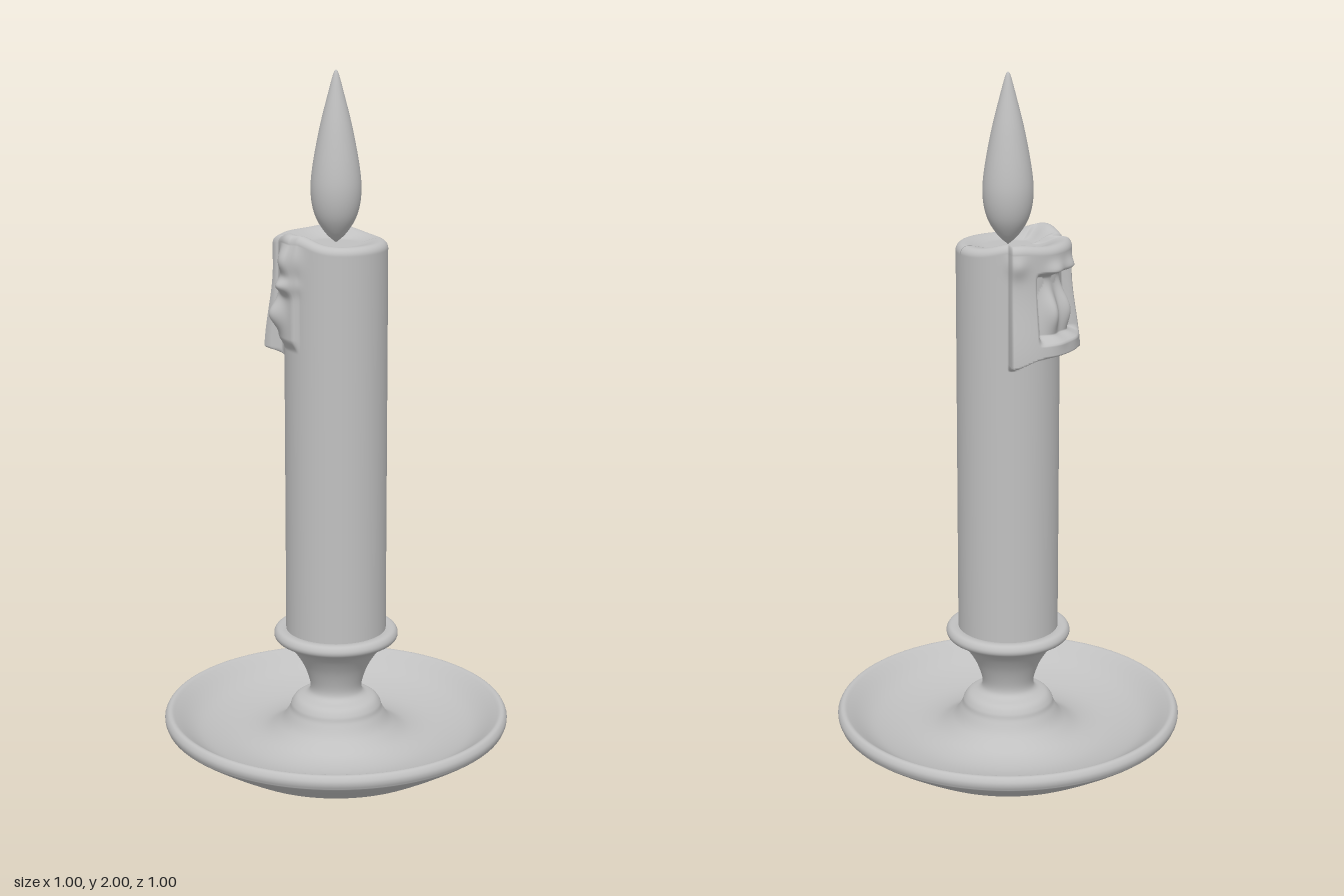
import * as THREE from 'three';
import { ParametricGeometry } from 'three/addons/geometries/ParametricGeometry.js';

const { smoothstep, lerp, clamp } = THREE.MathUtils;

// Lathe through a smooth curve of [radius, height] points.
function smoothLathe(points, samples) {
  const curve = new THREE.SplineCurve(points.map(([r, y]) => new THREE.Vector2(r, y)));
  const pts = curve.getPoints(samples);
  pts.forEach((p) => { p.x = Math.max(p.x, 0); });
  return new THREE.LatheGeometry(pts, 96);
}

// 1 inside the range a..b, fading to 0 over the width w outside it.
const band = (v, a, b, w) => smoothstep(v, a - w, a) * (1 - smoothstep(v, b, b + w));

// Smooth bump in angle (degrees) and height.
const bump = (a, y, a0, y0, wa, wy) => Math.exp(-(((a - a0) / wa) ** 2) - ((y - y0) / wy) ** 2);

// Angle 0 is +x, 90 is -z, 180 is -x.
const wrap = (d) => ((d % 360) + 360) % 360;

// How far the melted wax stands out from the candle side.
function waxThickness(deg, y) {
  // Wide curtain at the back with a raised frame, a hollow and lumps
  const low = 1.21 + 0.025 * band(deg, 95, 140, 30);
  const curtain = band(deg, 68, 160, 5) * smoothstep(y, low - 0.012, low + 0.012);
  let t = curtain * lerp(0.058, 0.032, smoothstep(y, 1.21, 1.46));
  t -= 0.036 * band(deg, 96, 149, 7) * band(y, 1.3, 1.455, 0.025);
  for (const a of [111, 134]) {
    t += 0.032 * bump(a, y, a, 1.36, 9, 0.06) * Math.exp(-(((deg - a) / 9) ** 2));
    t += 0.014 * bump(deg, y, a, 1.48, 10, 0.022);
  }
  t += 0.012 * bump(deg, y, 72, 1.5, 9, 0.03);
  // Short beaded run on the -x side
  const run = band(deg, 172, 205, 6) * smoothstep(y, 1.23, 1.27);
  t += run * 0.016;
  t += 0.03 * bump(deg, y, 201, 1.49, 12, 0.045);
  t += 0.03 * bump(deg, y, 197, 1.42, 11, 0.022);
  t += 0.034 * bump(deg, y, 183, 1.335, 10, 0.04);
  return Math.max(t, 0);
}

// Height of the uneven rim.
function rimHeight(deg) {
  return 1.532 + 0.03 * bump(deg, 0, 198, 0, 32, 1) + 0.022 * bump(deg, 0, 72, 0, 32, 1)
    + 0.01 * bump(deg, 0, 130, 0, 30, 1);
}

// Candle: side with drips, rounded rim, shallow melted hollow.
function candlePoint(u, v, target) {
  const a = u * Math.PI * 2;
  const deg = wrap(u * 360);
  const top = rimHeight(deg);
  const shoulder = top - 0.022;
  let r, y;
  if (v < 0.72) {
    y = v < 0.04 ? lerp(0.38, 1.17, v / 0.04) : lerp(1.17, shoulder, (v - 0.04) / 0.68);
    r = 0.145 + waxThickness(deg, y);
  } else {
    const edge = 0.145 + waxThickness(deg, shoulder);
    if (v < 0.84) {
      const k = ((v - 0.72) / 0.12) * Math.PI / 2;
      r = edge - 0.022 * (1 - Math.cos(k));
      y = shoulder + 0.022 * Math.sin(k);
    } else {
      const k = clamp((v - 0.84) / 0.16, 0, 1);
      r = lerp(edge - 0.022, 0.002, k);
      y = lerp(top, 1.522, smoothstep(k, 0, 0.5));
    }
  }
  target.set(r * Math.cos(a), y, -r * Math.sin(a));
}

export function createModel() {
  const model = new THREE.Group();
  const grey = new THREE.MeshStandardMaterial({ color: 0xc0c0c0 });
  grey.name = 'plain grey';

  const add = (name, geometry) => {
    const mesh = new THREE.Mesh(geometry, grey);
    mesh.name = name;
    model.add(mesh);
  };

  // Flat underside
  const base = new THREE.CircleGeometry(0.325, 96);
  base.rotateX(Math.PI / 2);
  add('dishBottom', base);

  // Sloping outer wall of the dish and its rounded lip
  add('dishWall', smoothLathe([
    [0.325, 0], [0.34, 0.006], [0.41, 0.047], [0.485, 0.095], [0.499, 0.11], [0.502, 0.127],
    [0.494, 0.141], [0.482, 0.143], [0.468, 0.134],
  ], 48));

  // Dish floor rising into the foot, stem and collar
  add('dishAndStem', smoothLathe([
    [0.468, 0.134], [0.4, 0.088], [0.3, 0.062], [0.22, 0.068], [0.165, 0.1], [0.138, 0.138],
    [0.13, 0.16], [0.115, 0.178], [0.085, 0.19], [0.075, 0.208], [0.08, 0.24], [0.098, 0.285],
    [0.128, 0.33], [0.155, 0.352], [0.175, 0.363], [0.18, 0.377], [0.172, 0.391], [0.155, 0.394],
    [0.13, 0.388],
  ], 110));

  add('candle', new ParametricGeometry(candlePoint, 200, 130));

  // Teardrop flame
  add('flame', smoothLathe([
    [0, 1.525], [0.03, 1.553], [0.058, 1.6], [0.07, 1.66], [0.066, 1.73], [0.046, 1.84],
    [0.021, 1.94], [0.007, 1.99], [0, 2],
  ], 50));

  return model;
}
